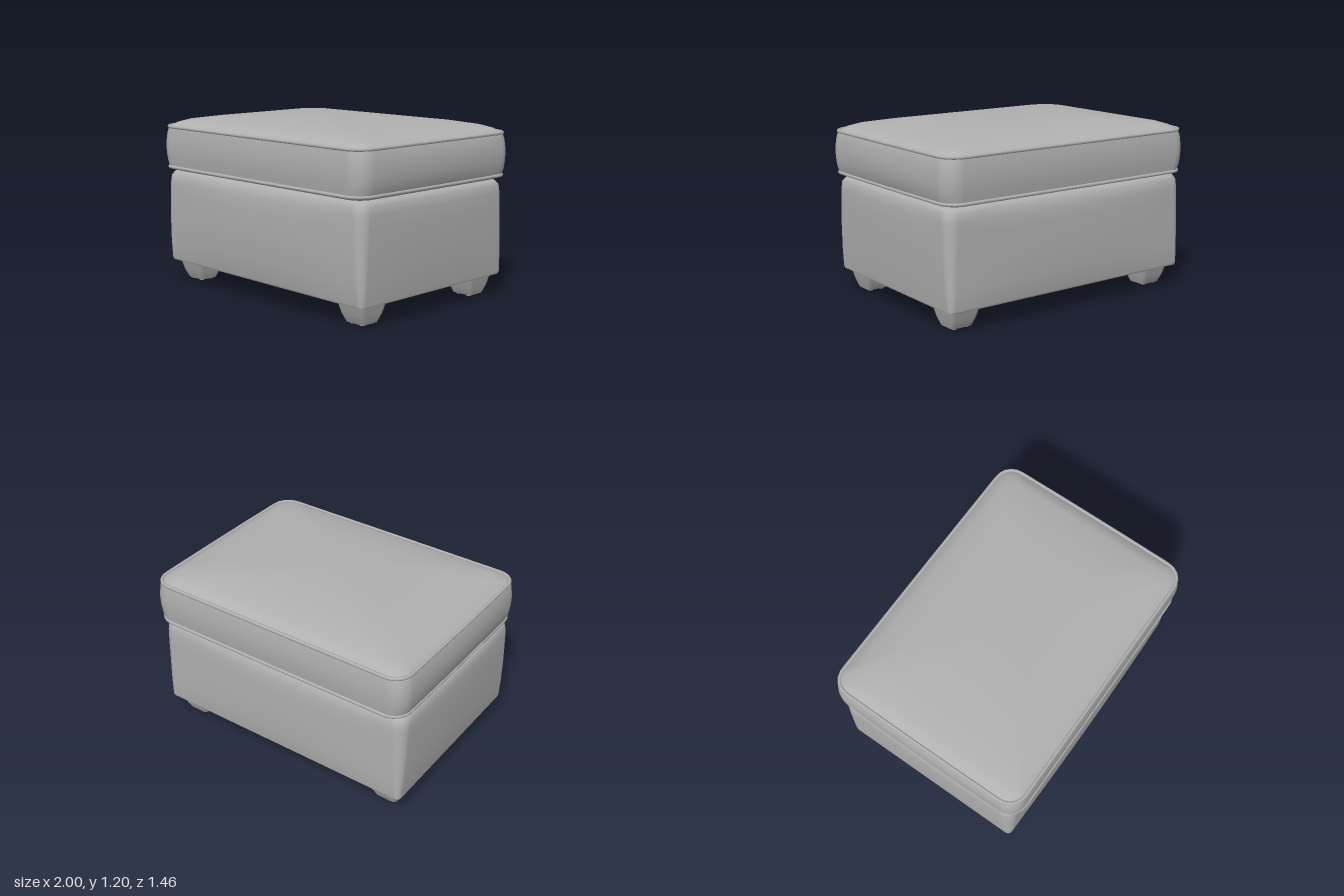
import * as THREE from 'three';

const upholstery = new THREE.MeshStandardMaterial({ color: 0xb0b0b0 });
upholstery.name = 'grey upholstery';

// Rounded rectangle outline; the four sides may bow outward by bx and bz.
function ring({ y, hx, hz, r, bx = 0, bz = 0, cx = 0, cz = 0 }) {
  const pts = [];
  const arc = 8, side = 10;
  const corners = [[1, 1], [-1, 1], [-1, -1], [1, -1]];
  const cornerPoint = (k, t) => {
    const [sx, sz] = corners[k % 4];
    const a = (k % 4 + t) * Math.PI / 2;
    return [sx * (hx - r) + r * Math.cos(a), sz * (hz - r) + r * Math.sin(a)];
  };
  for (let k = 0; k < 4; k++) {
    for (let i = 0; i <= arc; i++) pts.push(cornerPoint(k, i / arc));
    const a = cornerPoint(k, 1), b = cornerPoint(k + 1, 0);
    for (let i = 1; i < side; i++) {
      const t = i / side;
      pts.push([a[0] + (b[0] - a[0]) * t, a[1] + (b[1] - a[1]) * t]);
    }
  }
  return pts.map(([x, z]) => {
    const u = hx ? x / hx : 0, v = hz ? z / hz : 0;
    return new THREE.Vector3(cx + x + bx * u * (1 - v * v), y, cz + z + bz * v * (1 - u * u));
  });
}

// Skin stretched over a stack of outlines, listed bottom to top.
function loft(name, sections) {
  const rings = sections.map(ring);
  const n = rings[0].length;
  const index = [];
  for (let i = 0; i < rings.length - 1; i++) {
    for (let j = 0; j < n; j++) {
      const a = i * n + j, b = i * n + (j + 1) % n;
      index.push(a, a + n, b, b, a + n, b + n);
    }
  }
  const geometry = new THREE.BufferGeometry().setFromPoints(rings.flat());
  geometry.setIndex(index);
  geometry.computeVertexNormals();
  const mesh = new THREE.Mesh(geometry, upholstery);
  mesh.name = name;
  return mesh;
}

// Flat cap facing down, shrinking to a near-point in the middle.
const underside = (name, s) => loft(name, [{ ...s, hx: 0.001, hz: 0.001, r: 0.0005, bx: 0, bz: 0 }, s]);

function piping(name, section) {
  const curve = new THREE.CatmullRomCurve3(ring(section), true);
  const mesh = new THREE.Mesh(new THREE.TubeGeometry(curve, 160, 0.012, 8, true), upholstery);
  mesh.name = name;
  return mesh;
}

// Tapered block foot with four little glides under it.
function makeLeg(x, z) {
  const leg = new THREE.Group();
  leg.name = 'leg';
  const foot = { y: 0.01, hx: 0.078, hz: 0.07, r: 0.025 };
  leg.add(
    loft('legBlock', [
      foot,
      { y: 0.025, hx: 0.084, hz: 0.078, r: 0.028 },
      { y: 0.07, hx: 0.098, hz: 0.099, r: 0.03 },
      { y: 0.145, hx: 0.114, hz: 0.12, r: 0.03 },
    ]),
    underside('legSole', foot),
  );
  for (const sx of [-1, 1]) for (const sz of [-1, 1]) {
    const glide = new THREE.Mesh(new THREE.CylinderGeometry(0.021, 0.017, 0.012, 14), upholstery);
    glide.name = 'glide';
    glide.position.set(sx * 0.042, 0.006, sz * 0.038);
    leg.add(glide);
  }
  leg.position.set(x, 0, z);
  return leg;
}

export function createModel() {
  const model = new THREE.Group();
  model.name = 'ottoman';

  // Padded box base
  const hem = { y: 0.14, hx: 0.952, hz: 0.668, r: 0.03, cx: -0.008, cz: -0.008 };
  const base = new THREE.Group();
  base.name = 'base';
  base.add(
    loft('baseSides', [
      hem,
      { ...hem, y: 0.155, hx: 0.957, hz: 0.675, r: 0.035, bz: 0.002 },
      { ...hem, y: 0.28, hx: 0.963, hz: 0.682, r: 0.05, bx: 0.006, bz: 0.014, cz: -0.004 },
      { ...hem, y: 0.45, hx: 0.966, hz: 0.682, r: 0.06, bx: 0.011, bz: 0.021, cz: 0 },
      { ...hem, y: 0.62, hx: 0.966, hz: 0.682, r: 0.07, bx: 0.011, bz: 0.022, cz: 0 },
      { ...hem, y: 0.7, hx: 0.965, hz: 0.682, r: 0.075, bx: 0.009, bz: 0.016, cz: 0 },
      { ...hem, y: 0.755, hx: 0.961, hz: 0.678, r: 0.08, bx: 0.005, bz: 0.006, cz: 0 },
      { ...hem, y: 0.78, hx: 0.945, hz: 0.66, r: 0.08, cz: 0 },
      { ...hem, y: 0.79, hx: 0.915, hz: 0.63, r: 0.08, cz: 0 },
      { ...hem, y: 0.792, hx: 0.8, hz: 0.52, r: 0.08, cz: 0 },
    ]),
    underside('baseUnderside', hem),
  );
  model.add(base);

  // Loose seat cushion: tucked bottom, bulging band, domed top
  const lower = { y: 0.818, hx: 0.966, hz: 0.712, r: 0.115, bx: 0.005, bz: 0.002 };
  const upper = { y: 1.1, hx: 0.966, hz: 0.71, r: 0.115, bx: 0.005, bz: 0.002 };
  const cushion = new THREE.Group();
  cushion.name = 'cushion';
  cushion.add(
    loft('cushionBottom', [
      { y: 0.785, hx: 0.8, hz: 0.52, r: 0.1 },
      { y: 0.787, hx: 0.91, hz: 0.645, r: 0.1 },
      { y: 0.798, hx: 0.943, hz: 0.685, r: 0.11 },
      lower,
    ]),
    loft('cushionBand', [
      lower,
      { ...lower, y: 0.86, hx: 0.978, hz: 0.718, bx: 0.01 },
      { ...lower, y: 0.92, hx: 0.984, hz: 0.723, bx: 0.014, bz: 0.004 },
      { ...lower, y: 0.99, hx: 0.985, hz: 0.724, bx: 0.014, bz: 0.004 },
      { ...lower, y: 1.06, hx: 0.978, hz: 0.718, bx: 0.01 },
      upper,
    ]),
    loft('cushionTop', [
      { ...upper, y: 1.098 },
      { y: 1.108, hx: 0.95, hz: 0.695, r: 0.11 },
      { y: 1.128, hx: 0.925, hz: 0.668, r: 0.11 },
      { y: 1.148, hx: 0.87, hz: 0.62, r: 0.12 },
      { y: 1.171, hx: 0.72, hz: 0.51, r: 0.13 },
      { y: 1.189, hx: 0.5, hz: 0.36, r: 0.13 },
      { y: 1.198, hx: 0.25, hz: 0.19, r: 0.09 },
      { y: 1.2, hx: 0.001, hz: 0.001, r: 0.0005 },
    ]),
    piping('lowerPiping', lower),
    piping('upperPiping', upper),
  );
  model.add(cushion);

  // Four feet
  for (const x of [-0.805, 0.797]) for (const z of [0.51, -0.517]) model.add(makeLeg(x, z));

  return model;
}
